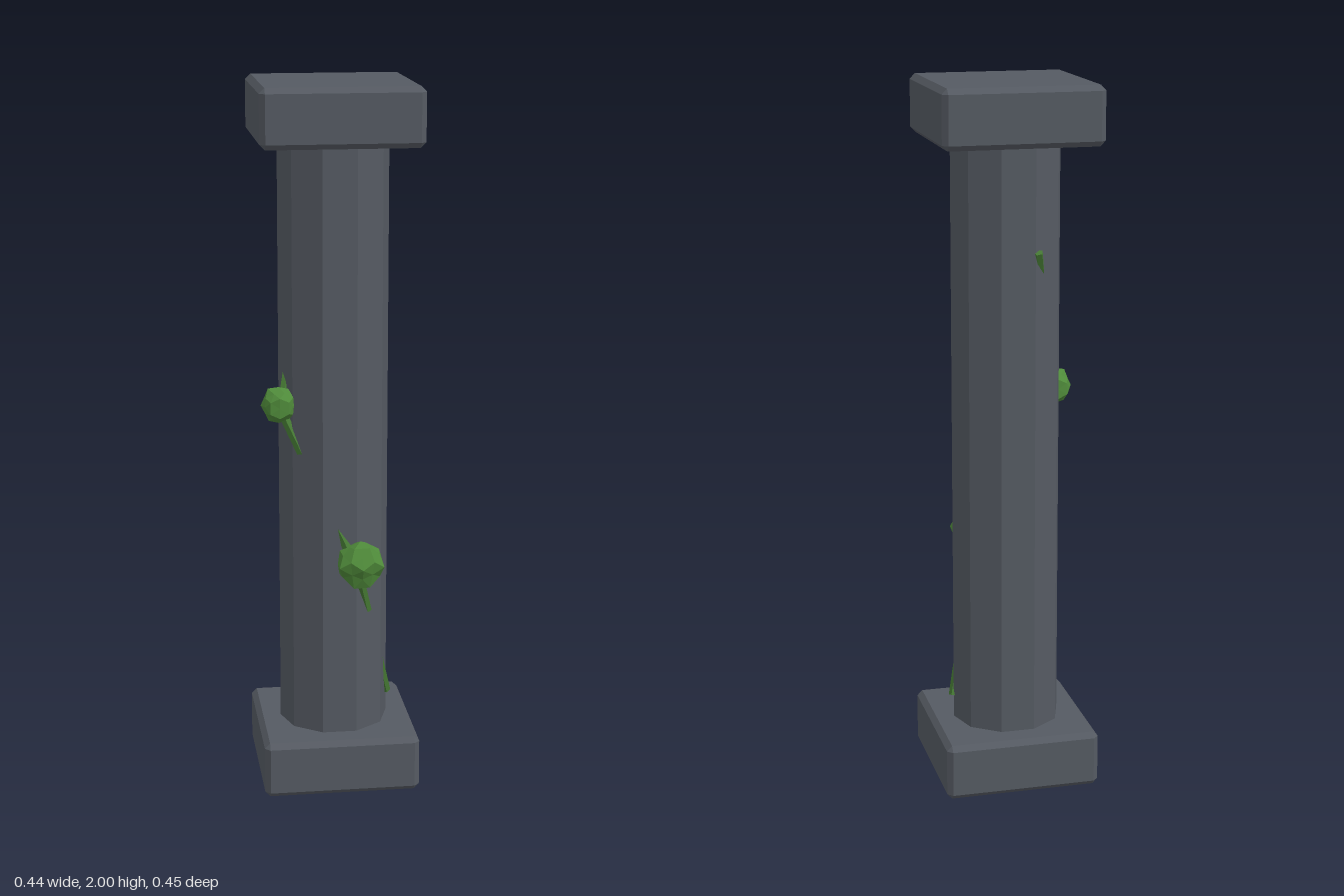
import * as THREE from 'three';
import { ConvexGeometry } from 'three/addons/geometries/ConvexGeometry.js';

export function createModel() {
  const model = new THREE.Group();
  model.name = 'overgrownColumn';
  const stone = new THREE.MeshStandardMaterial({ color: 0x555a62, flatShading: true, name: 'stone' });
  const leafGreen = new THREE.MeshStandardMaterial({ color: 0x4f8a3a, flatShading: true, name: 'leafGreen' });
  const vineGreen = new THREE.MeshStandardMaterial({ color: 0x467a34, flatShading: true, name: 'vineGreen' });

  function add(name, geometry, material, x, y, z) {
    const mesh = new THREE.Mesh(geometry, material);
    mesh.name = name;
    mesh.position.set(x, y, z);
    model.add(mesh);
    return mesh;
  }

  // Box with every edge and corner chamfered
  function chamferedBox(w, h, d, c) {
    const points = [];
    for (const sx of [-1, 1]) for (const sy of [-1, 1]) for (const sz of [-1, 1])
      for (let axis = 0; axis < 3; axis++) {
        const inset = [c, c, c];
        inset[axis] = 0;
        points.push(new THREE.Vector3(
          sx * (w / 2 - inset[0]), sy * (h / 2 - inset[1]), sz * (d / 2 - inset[2])));
      }
    return new ConvexGeometry(points);
  }

  // Ten-sided shaft between a matching base and capital
  const stoneZ = -0.004;
  const block = chamferedBox(0.443, 0.162, 0.443, 0.015);
  add('base', block, stone, 0, 0.081, stoneZ);
  add('capital', block, stone, 0, 1.919, stoneZ);
  const shaft = new THREE.CylinderGeometry(0.155, 0.155, 1.7, 10);
  shaft.rotateY(Math.PI / 2);
  add('shaft', shaft, stone, 0, 1, stoneZ);

  // Vine winding up in straight lengths that dip in and out of the shaft
  const nodes = [
    [0.156, 0.225, 0], [0.05, 0.65, 0.153], [-0.155, 1.1, 0.07], [-0.055, 1.55, -0.151],
  ].map((p) => new THREE.Vector3(...p));
  const up = new THREE.Vector3(0, 1, 0);
  for (let i = 0; i < nodes.length - 1; i++) {
    const along = nodes[i + 1].clone().sub(nodes[i]);
    const mid = nodes[i].clone().addScaledVector(along, 0.5);
    const stem = new THREE.CylinderGeometry(0.013, 0.013, along.length(), 5);
    add('vine' + (i + 1), stem, vineGreen, mid.x, mid.y, mid.z)
      .quaternion.setFromUnitVectors(up, along.normalize());
  }

  // Lumpy leaf clusters: spheres whose corners are pushed in and out by a rule
  function leafCluster(name, radius, seed, x, y, z) {
    const geometry = new THREE.IcosahedronGeometry(1, 1);
    const pos = geometry.attributes.position;
    const v = new THREE.Vector3();
    for (let i = 0; i < pos.count; i++) {
      v.fromBufferAttribute(pos, i);
      const lump = Math.sin(v.x * 7 + seed) * Math.sin(v.y * 6 + seed * 2) + Math.sin(v.z * 8 + seed * 3);
      v.multiplyScalar(radius * (0.94 + 0.08 * lump));
      pos.setXYZ(i, v.x, v.y, v.z);
    }
    geometry.computeVertexNormals();
    add(name, geometry, leafGreen, x, y, z);
  }
  leafCluster('largeLeafCluster', 0.07, 1.3, 0.055, 0.675, 0.163);
  leafCluster('smallLeafCluster', 0.052, 2.6, -0.163, 1.118, 0.073);

  return model;
}
